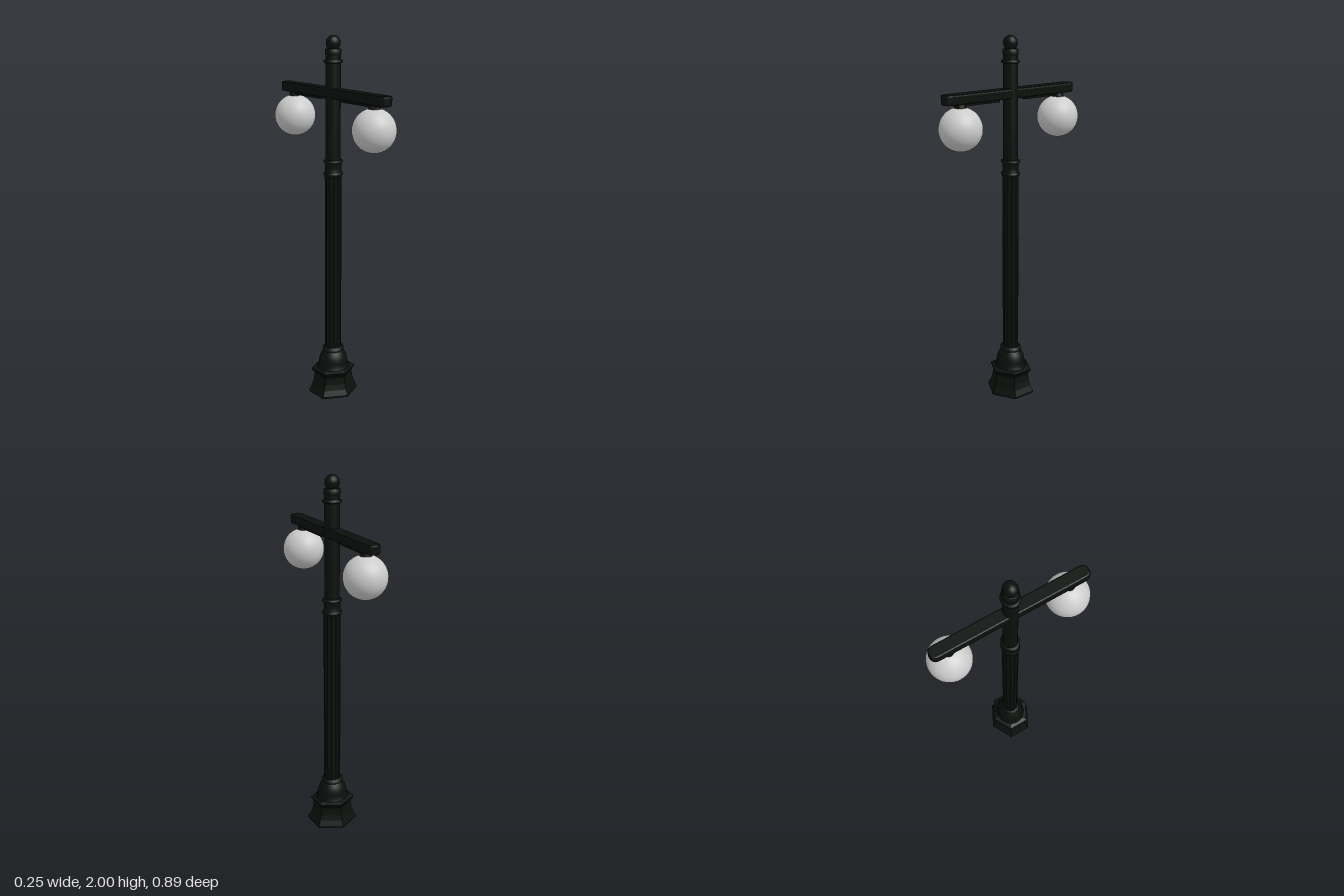
import * as THREE from 'three';

const iron = new THREE.MeshStandardMaterial({ color: 0x0b100c });
const glass = new THREE.MeshStandardMaterial({ color: 0xcccccc });

function part(parent, name, geometry, material = iron) {
  const mesh = new THREE.Mesh(geometry, material);
  mesh.name = name;
  parent.add(mesh);
  return mesh;
}

// Turned part from [radius, height] pairs, with crisp facets along the profile
function turned(points, sides = 32) {
  return new THREE.LatheGeometry(points.map(([r, y]) => new THREE.Vector2(r, y)), sides);
}

// Shaft outline: alternating ridges and scooped flutes
function flutedShaft(radius, depth, flutes, y0, y1) {
  const pts = [];
  const n = flutes * 6;
  for (let i = 0; i < n; i++) {
    const a = (i / n) * Math.PI * 2;
    const r = radius - depth * Math.abs(Math.sin((a * flutes) / 2));
    pts.push(new THREE.Vector2(r * Math.cos(a), r * Math.sin(a)));
  }
  const geo = new THREE.ExtrudeGeometry(new THREE.Shape(pts), { depth: y1 - y0, bevelEnabled: false });
  return geo.rotateX(-Math.PI / 2).translate(0, y0, 0);
}

export function createModel() {
  const model = new THREE.Group();
  model.name = 'streetLamp';

  // The post is slightly narrower from front to back
  const post = new THREE.Group();
  post.name = 'post';
  post.scale.z = 0.91;
  post.position.z = 0.006;
  model.add(post);

  // Six-sided flared foot; radii are to the corners
  const foot = turned([[0, 0], [0.143, 0], [0.142, 0.012], [0.126, 0.04], [0.116, 0.07],
    [0.111, 0.1], [0.111, 0.118], [0.126, 0.135], [0.126, 0.143], [0.1, 0.152], [0, 0.152]], 6);
  const flatFoot = foot.toNonIndexed();
  flatFoot.computeVertexNormals();
  part(post, 'foot', flatFoot);

  // Round dome and rings above the foot
  part(post, 'dome', turned([[0.092, 0.145], [0.092, 0.158], [0.083, 0.165], [0.084, 0.185], [0.08, 0.21],
    [0.07, 0.232], [0.058, 0.246], [0.056, 0.25], [0.061, 0.254], [0.061, 0.268], [0.045, 0.275]]));

  part(post, 'lowerShaft', flutedShaft(0.047, 0.005, 12, 0.26, 1.26));
  part(post, 'upperShaft', turned([[0.041, 1.25], [0.041, 1.93], [0, 1.93]]));

  // Collars
  part(post, 'middleCollar', turned([[0.041, 1.255], [0.047, 1.26], [0.047, 1.27], [0.054, 1.272],
    [0.054, 1.28], [0.046, 1.284], [0.045, 1.31], [0.046, 1.336], [0.054, 1.339], [0.054, 1.347], [0.041, 1.352]]));
  part(post, 'upperCollar', turned([[0.041, 1.858], [0.052, 1.862], [0.052, 1.871], [0.041, 1.877]]));
  part(post, 'topCollar', turned([[0.041, 1.9], [0.044, 1.905], [0.044, 1.928], [0.03, 1.932]]));

  // Ball finial
  part(post, 'finial', new THREE.SphereGeometry(0.04, 24, 16).translate(0, 1.96, 0));

  // Crossarm: rounded in plan, with bevelled edges
  const plan = new THREE.Shape();
  const w = 0.027, l = 0.395;
  plan.moveTo(-w, -l);
  plan.quadraticCurveTo(-w, -l - 0.027, 0, -l - 0.027);
  plan.quadraticCurveTo(w, -l - 0.027, w, -l);
  plan.lineTo(w, l);
  plan.quadraticCurveTo(w, l + 0.027, 0, l + 0.027);
  plan.quadraticCurveTo(-w, l + 0.027, -w, l);
  const armGeo = new THREE.ExtrudeGeometry(plan, {
    depth: 0.034, bevelThickness: 0.009, bevelSize: 0.009, bevelSegments: 2, curveSegments: 6,
  });
  armGeo.rotateX(-Math.PI / 2).translate(0, 1.687, 0.006);
  part(model, 'crossarm', armGeo);

  // Mirrored undersides, fitters and globes
  for (const side of [1, -1]) {
    const lamp = new THREE.Group();
    lamp.name = side > 0 ? 'frontLamp' : 'backLamp';
    model.add(lamp);
    part(lamp, 'armRib', new THREE.BoxGeometry(0.036, 0.02, 0.27)).position.set(0, 1.676, side * 0.22 + 0.004);
    part(lamp, 'fitter', new THREE.CylinderGeometry(0.026, 0.034, 0.03, 20)).position.set(0, 1.668, side * 0.33);
    part(lamp, 'globe', new THREE.SphereGeometry(0.1135, 40, 28), glass).position.set(0, 1.55, side * 0.33);
  }
  return model;
}
